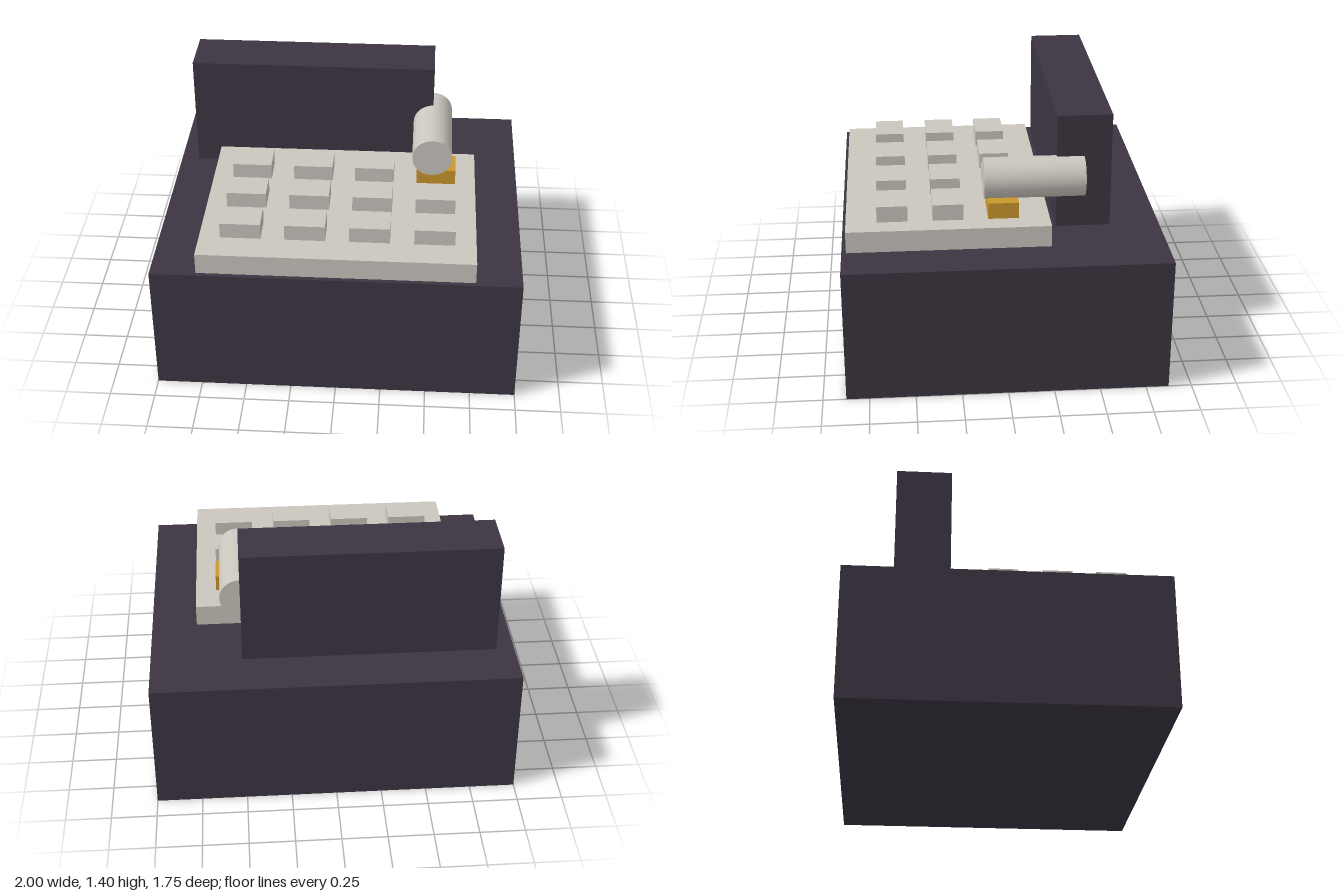
import * as THREE from 'three';

export function createModel() {
  const model = new THREE.Group();
  const mat = (name, color) => {
    const m = new THREE.MeshStandardMaterial({ color });
    m.name = name;
    return m;
  };
  const dark = mat('dark plum', 0x3c3541);
  const pale = mat('pale grey', 0xcac6be);
  const amber = mat('amber', 0xc9962c);

  // Box given by its lower and upper limits on each axis
  const box = (name, material, [x0, x1], [y0, y1], [z0, z1], parent = model) => {
    const mesh = new THREE.Mesh(new THREE.BoxGeometry(x1 - x0, y1 - y0, z1 - z0), material);
    mesh.position.set((x0 + x1) / 2, (y0 + y1) / 2, (z0 + z1) / 2);
    mesh.name = name;
    parent.add(mesh);
    return mesh;
  };

  // Main block, upright panel and key plate
  box('body', dark, [-1, 1], [0, 0.75], [-0.875, 0.875]);
  box('backPanel', dark, [-0.9, 0.5], [0.75, 1.4], [-0.6, -0.3]);
  box('keyPlate', pale, [-0.75, 0.75], [0.75, 0.87], [-0.25, 0.85]);

  // Keys in three rows of four; the rear left one is amber
  const keys = new THREE.Group();
  keys.name = 'keys';
  model.add(keys);
  for (let row = 0; row < 3; row++) {
    for (let col = 0; col < 4; col++) {
      const x = -0.525 + col * 0.35;
      const z = row * 0.3;
      const accent = row === 0 && col === 3;
      box(accent ? 'accentKey' : 'key', accent ? amber : pale,
        [x - 0.11, x + 0.11], [0.87, 0.96], [z - 0.083, z + 0.083], keys);
    }
  }

  // Paper roll lying front to back beside the panel
  const roll = new THREE.Mesh(new THREE.CylinderGeometry(0.1125, 0.1125, 0.55, 40), pale);
  roll.name = 'roll';
  roll.rotation.x = Math.PI / 2;
  roll.position.set(0.5, 1.0525, -0.175);
  model.add(roll);

  return model;
}
